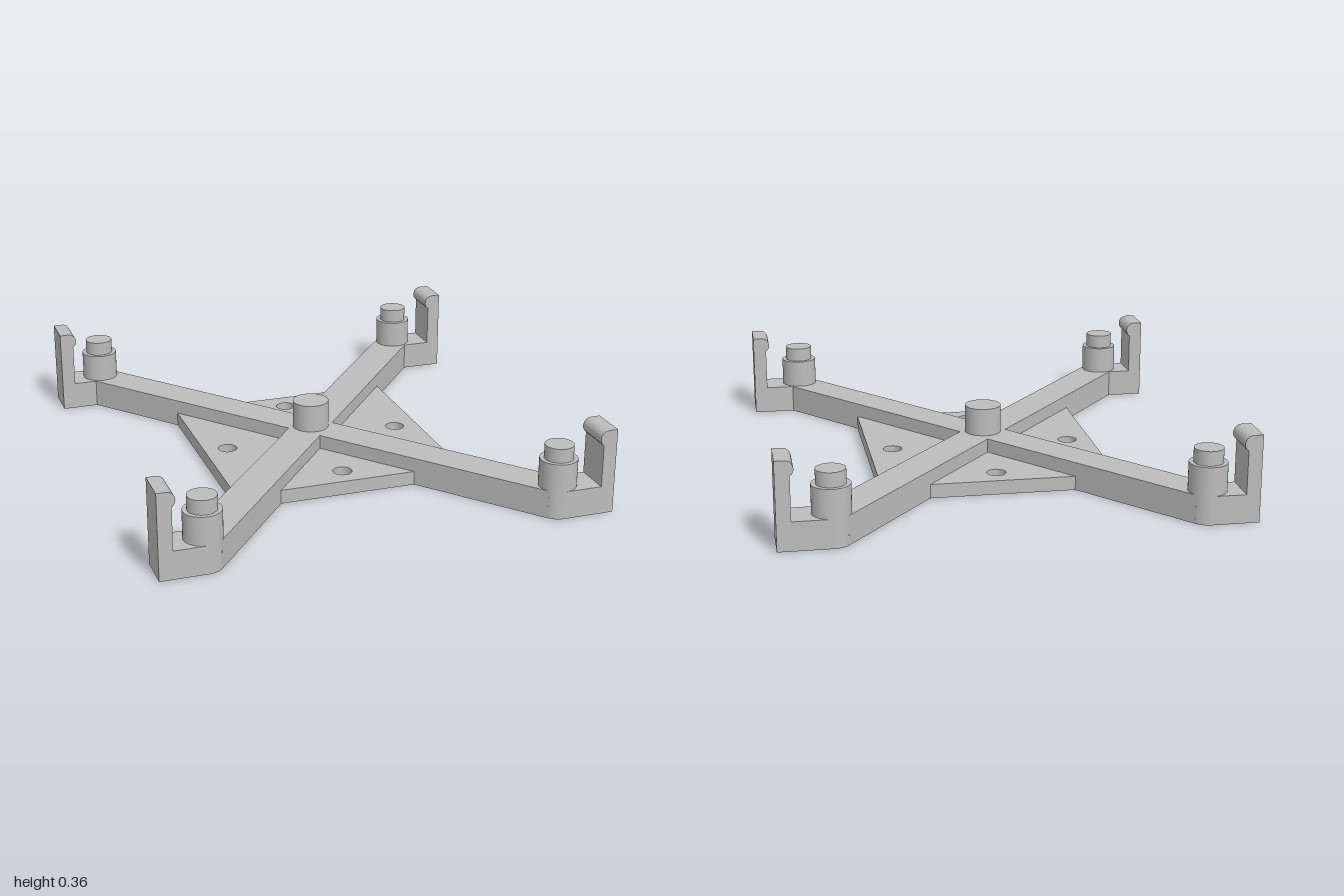
import * as THREE from 'three';
import { toCreasedNormals } from 'three/addons/utils/BufferGeometryUtils.js';

export function createModel() {
  const model = new THREE.Group();
  model.name = 'mountingFrame';
  const grey = new THREE.MeshStandardMaterial({ color: 0xbcbcbc });
  grey.name = 'plain grey';

  const CX = -0.011, POST_X = 0.746, POST_Z = 0.922, R = 0.0785, ARM_H = 0.12;

  function add(name, geometry, x, y, z, rotY = 0) {
    const mesh = new THREE.Mesh(geometry, grey);
    mesh.name = name;
    mesh.position.set(x, y, z);
    mesh.rotation.y = rotY;
    model.add(mesh);
  }
  const cylinder = (r, h) => new THREE.CylinderGeometry(r, r, h, 40);
  const extrude = (shape, depth) => new THREE.ExtrudeGeometry(shape, { depth, bevelEnabled: false, curveSegments: 16 });

  // Square base plate with four screw holes
  const plate = new THREE.Shape();
  plate.moveTo(-0.496, -0.49).lineTo(0.496, -0.49).lineTo(0.496, 0.503).lineTo(-0.496, 0.503).closePath();
  for (const [x, y] of [[0, 0.398], [0, -0.385], [-0.392, 0.007], [0.392, 0.007]]) {
    const hole = new THREE.Path();
    hole.absarc(x, y, 0.041, 0, Math.PI * 2, true);
    plate.holes.push(hole);
  }
  const plateGeo = toCreasedNormals(extrude(plate, 0.06), 0.6);
  plateGeo.rotateX(-Math.PI / 2);
  add('basePlate', plateGeo, 0, 0, 0);

  // Two crossed arms running from post to post
  const armLength = 2 * Math.hypot(POST_X, POST_Z);
  for (const s of [-1, 1]) {
    add('crossArm', new THREE.BoxGeometry(armLength, ARM_H, 2 * R), CX, ARM_H / 2, 0, s * Math.atan2(POST_Z, POST_X));
  }

  // Centre post
  add('centrePost', cylinder(R, 0.24), CX, 0.12, 0);

  // Clip profile: foot, upright and rounded bead, with x measured inward from the outer face
  function clipGeometry(length) {
    const s = new THREE.Shape();
    s.moveTo(0, 0).lineTo(length, 0).lineTo(length, ARM_H).lineTo(0.058, ARM_H);
    s.absarc(0.038, 0.329, 0.035, -0.96, Math.PI / 2, false);
    s.lineTo(0, 0.364).closePath();
    const geo = extrude(s, 2 * R);
    geo.translate(0, 0, -R);
    return toCreasedNormals(geo, 0.6);
  }

  // Corner posts with stepped pegs, and the clips beside them
  for (const sx of [-1, 1]) {
    const x = CX + sx * POST_X;
    const outer = sx * 0.952;
    const clip = clipGeometry(Math.abs(outer - x));
    for (const sz of [-1, 1]) {
      const z = sz * POST_Z;
      add('cornerPost', cylinder(R, 0.24), x, 0.12, z);
      add('cornerPeg', cylinder(0.06, 0.06), x, 0.27, z);
      add('cornerClip', clip, outer, 0, z, sx > 0 ? Math.PI : 0);
    }
  }
  return model;
}
